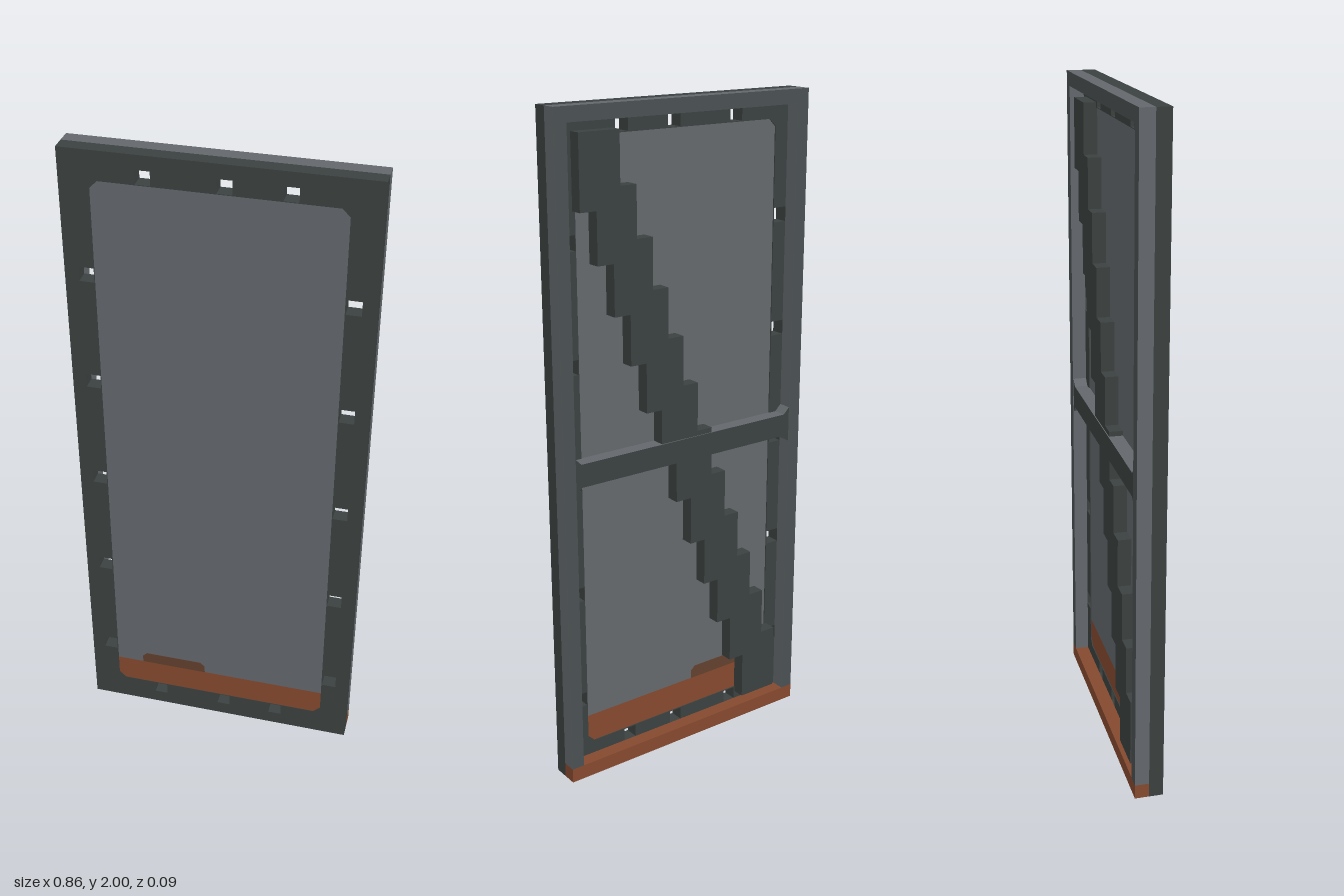
import * as THREE from 'three';

const mat = (name, color, extra) => {
  const m = new THREE.MeshStandardMaterial({ color });
  m.name = name;
  return m;
};

export function createModel() {
  const door = new THREE.Group();
  door.name = 'panelDoor';
  const dark = mat('darkSteel', 0x3b4140);
  const mid = mat('midSteel', 0x4a5152);
  const gray = mat('graySteel', 0x63686c);
  const rust = mat('rust', 0x85492f);
  const oldRust = mat('darkRust', 0x62402e);

  const add = (name, geo, material) => {
    const m = new THREE.Mesh(geo, material);
    m.name = name;
    door.add(m);
    return m;
  };
  const box = (name, x0, x1, y0, y1, z0, z1, material) => {
    const m = add(name, new THREE.BoxGeometry(x1 - x0, y1 - y0, z1 - z0), material);
    m.position.set((x0 + x1) / 2, (y0 + y1) / 2, (z0 + z1) / 2);
    return m;
  };
  const poly = pts => pts.map(p => new THREE.Vector2(...p));
  const slab = (name, shape, z0, z1, material) => {
    const geo = new THREE.ExtrudeGeometry(shape, { depth: z1 - z0, bevelEnabled: false });
    geo.translate(0, 0, z0);
    return add(name, geo, material);
  };

  const W = 0.432, H = 2, D = 0.043;       // outer half width, height, half depth
  const PX = 0.346, P0 = 0.087, P1 = 1.915; // infill panel
  const RX = 0.392, R0 = 0.045, R1 = 1.958; // inner edge of the rear rim
  const C = 0.022;                          // clipped panel corners

  // Front frame with panel opening and rows of square slots
  const frame = new THREE.Shape(poly([[-W, 0], [W, 0], [W, H], [-W, H]]));
  const cut = pts => frame.holes.push(new THREE.Path(poly(pts)));
  const slot = (x0, x1, y0, y1) => cut([[x0, y0], [x0, y1], [x1, y1], [x1, y0]]);
  cut([[-PX + C, P0], [-PX, P0 + C], [-PX, P1 - C], [-PX + C, P1],
    [PX - C, P1], [PX, P1 - C], [PX, P0 + C], [PX - C, P0]]);
  for (const y of [0.24, 0.59, 0.937, 1.285, 1.633]) {
    slot(-RX, -PX - 0.002, y - 0.022, y + 0.022);
    slot(PX + 0.002, RX, y - 0.022, y + 0.022);
  }
  for (const x of [-0.2, 0.018, 0.193]) {
    slot(x - 0.021, x + 0.021, R0, P0 - 0.002);
    slot(x - 0.021, x + 0.021, P1 + 0.002, R1);
  }
  slab('frontFrame', frame, 0, D, dark);

  // Infill panel with a rusted lower band
  const bandTop = 0.177;
  slab('panel', new THREE.Shape(poly([[-PX, bandTop], [PX, bandTop], [PX, P1 - C],
    [PX - C, P1], [-PX + C, P1], [-PX, P1 - C]])), 0.003, D - 0.001, gray);
  slab('rustBand', new THREE.Shape(poly([[-PX + C, P0], [PX - C, P0], [PX, P0 + C],
    [PX, bandTop], [-PX, bandTop], [-PX, P0 + C]])), 0.003, D - 0.001, rust);

  // Rust patch, seen on both faces of the panel
  const patch = new THREE.Shape(poly([[-0.26, bandTop], [-0.047, bandTop], [-0.047, 0.203],
    [-0.062, 0.217], [-0.245, 0.217], [-0.26, 0.203]]));
  slab('rustPatchFront', patch, D - 0.002, D, oldRust);
  slab('rustPatchBack', patch, 0.002, 0.004, oldRust);

  // Rear rim: gray edges with a darker rear face, rusted along the bottom
  const rimMats = [gray, gray, gray, gray, gray, mid];
  for (const s of [-1, 1]) {
    const xs = [s * RX, s * W].sort((a, b) => a - b);
    box('rearRimSide', ...xs, R0, R1, -D, 0, rimMats);
  }
  box('rearRimTop', -W, W, R1, H, -D, 0, rimMats);
  box('rearRimBottom', -W, W, 0, R0, -D, 0, rust);

  // Middle rail, flaring where it meets the rim
  const y0 = 0.945, y1 = 1.015, f = 0.02;
  slab('middleRail', new THREE.Shape(poly([[-RX, y0 - f], [-RX + f, y0], [RX - f, y0],
    [RX, y0 - f], [RX, y1 + f], [RX - f, y1], [-RX + f, y1], [-RX, y1 + f]])),
  -D + 0.002, 0.004, [dark, gray]);

  // Stepped diagonal brace, made as one outline so the steps share a face
  const N = 12, hw = 0.065, hh = 0.105;
  const cx = i => 0.29 - 0.58 * i / (N - 1);
  const cy = i => 1.825 - 1.65 * i / (N - 1);
  const upper = [], lower = [];
  for (let i = 0; i < N; i++) {
    const t = cy(i) + hh, b = cy(i) - hh;
    // right-hand steps, from the bottom up
    const j = N - 1 - i;
    lower.push([cx(j) - hw, cy(j) + hh], [j > 0 ? cx(j - 1) - hw : cx(0) + hw, cy(j) + hh]);
    // left-hand steps, from the top down
    upper.push([cx(i) + hw, b], [i < N - 1 ? cx(i + 1) + hw : cx(i) - hw, b]);
  }
  slab('diagonalBrace', new THREE.Shape(poly([...lower, ...upper])), -D + 0.005, 0.004, dark);

  return door;
}
